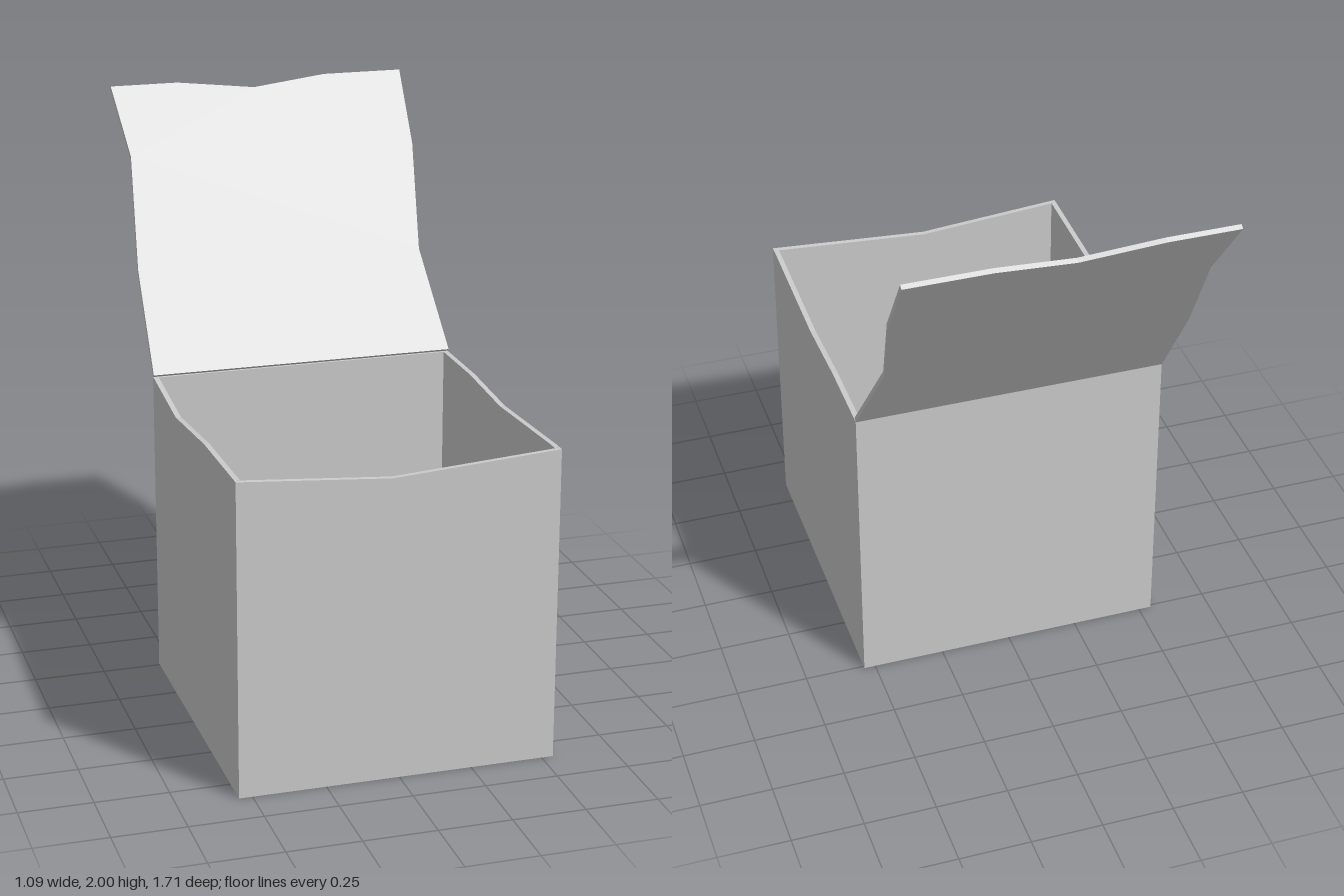
import * as THREE from 'three';

const X0 = -0.545, X1 = 0.54, Z0 = -0.26, Z1 = 0.857, TOP = 1.087, T = 0.018;

// Flat panel cut from an outline and given a thickness
function panel(name, points, thickness, material) {
  const shape = new THREE.Shape(points.map(([x, y]) => new THREE.Vector2(x, y)));
  const geometry = new THREE.ExtrudeGeometry(shape, { depth: thickness, bevelEnabled: false });
  const mesh = new THREE.Mesh(geometry, material);
  mesh.name = name;
  return mesh;
}

export function createModel() {
  const group = new THREE.Group();
  group.name = 'openBox';
  const material = new THREE.MeshStandardMaterial({ color: 0xcccccc, flatShading: true });

  // Front wall with a sagging top edge
  const front = panel('frontWall',
    [[X0, 0], [X1, 0], [X1, TOP], [-0.03, 1.047], [X0, TOP]], T, material);
  front.position.z = Z1 - T;

  // Back wall
  const back = panel('backWall', [[X0, 0], [X1, 0], [X1, TOP], [X0, TOP]], 0.01, material);
  back.position.z = Z0;

  // Side walls: outlines run along -z, so the turned panel thickens toward +x
  const sides = [
    ['leftWall', X1 - T, [[Z0 + 0.01, TOP], [0.03, TOP], [0.33, 1.067], [0.8, TOP], [Z1 - T, TOP]]],
    ['rightWall', X0, [[Z0 + 0.01, TOP], [0.07, 1.045], [0.46, 1.08], [Z1 - T, TOP]]],
  ];
  for (const [name, x, edge] of sides) {
    const outline = [[Z0 + 0.01, 0], ...edge, [Z1 - T, 0]].map(([z, y]) => [-z, y]);
    const wall = panel(name, outline, T, material);
    wall.rotation.y = Math.PI / 2;
    wall.position.x = x;
    group.add(wall);
  }

  // Floor, slightly raised inside the walls
  const floor = new THREE.Mesh(
    new THREE.BoxGeometry(X1 - X0 - 2 * T, 0.018, Z1 - Z0 - T - 0.01), material);
  floor.name = 'floor';
  floor.position.set((X0 + X1) / 2, 0.014, (Z0 + 0.01 + Z1 - T) / 2);

  // Open lid with uneven edges, leaning back from the hinge line
  const lid = panel('lid', [
    [X0, 0], [X1, 0], [0.495, 0.386], [X1, 0.79], [X1, 1.08], [0.25, 1.08],
    [-0.02, 1.045], [-0.3, 1.08], [X0, 1.08], [-0.51, 0.81], [X0, 0.386],
  ], 0.017, material);
  lid.rotation.x = -Math.atan2(0.593, 0.903);
  lid.position.set(0, TOP, Z0 - 0.002);

  group.add(front, back, floor, lid);
  return group;
}
